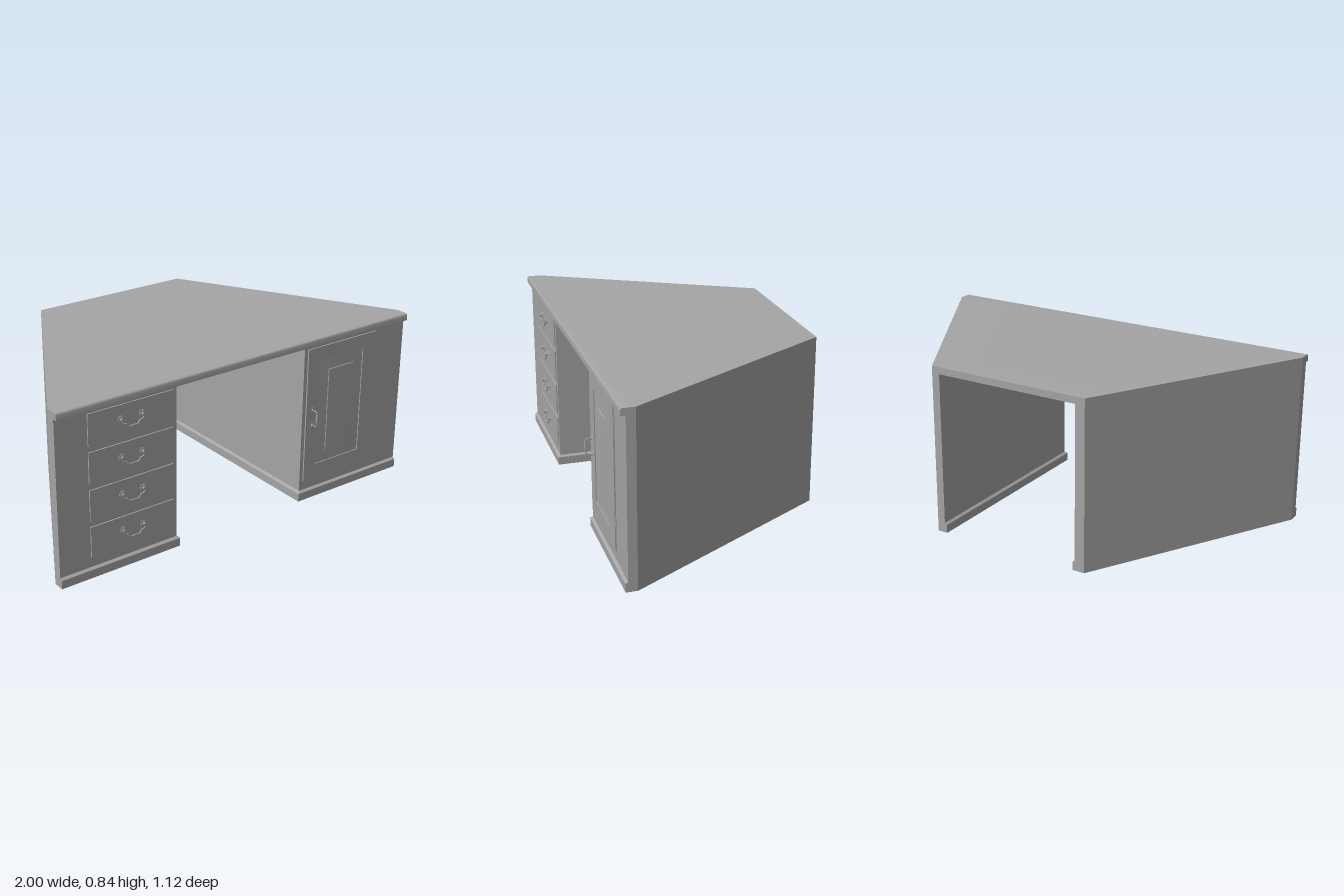
import * as THREE from 'three';
import { toCreasedNormals } from 'three/addons/utils/BufferGeometryUtils.js';

const FRONT = 0.513, BACK = -0.56;

// Solid from stacked convex outlines: levels of [height, [[x, z], ...]] listed bottom to top
function stack(levels) {
  const pos = [];
  const tri = (...pts) => pts.forEach(([y, [x, z]]) => pos.push(x, y, z));
  const n = levels[0][1].length;
  const [y0, bottom] = levels[0], [y1, top] = levels[levels.length - 1];
  for (let i = 1; i < n - 1; i++) {
    tri([y0, bottom[0]], [y0, bottom[i + 1]], [y0, bottom[i]]);
    tri([y1, top[0]], [y1, top[i]], [y1, top[i + 1]]);
  }
  for (let k = 0; k < levels.length - 1; k++) {
    const [ya, a] = levels[k], [yb, b] = levels[k + 1];
    for (let i = 0; i < n; i++) {
      const j = (i + 1) % n;
      tri([ya, a[i]], [ya, a[j]], [yb, b[j]]);
      tri([ya, a[i]], [yb, b[j]], [yb, b[i]]);
    }
  }
  const g = new THREE.BufferGeometry();
  g.setAttribute('position', new THREE.Float32BufferAttribute(pos, 3));
  return toCreasedNormals(g, 0.5);
}

// Rectangular panel facing +z; levels of [z, inset]
function panel(x0, x1, y0, y1, levels) {
  return stack(levels.map(([z, d]) => [z, [
    [x0 + d, -y0 - d], [x1 - d, -y0 - d], [x1 - d, -y1 + d], [x0 + d, -y1 + d],
  ]])).rotateX(Math.PI / 2);
}

function rectPath(path, x0, x1, y0, y1) {
  path.moveTo(x0, y0).lineTo(x1, y0).lineTo(x1, y1).lineTo(x0, y1).closePath();
  return path;
}

export function createModel() {
  const desk = new THREE.Group();
  desk.name = 'desk';
  const mat = new THREE.MeshStandardMaterial({ color: 0xa5a5a5 });
  const add = (name, geo, parent = desk) => {
    const m = new THREE.Mesh(geo, mat);
    m.name = name;
    parent.add(m);
    return m;
  };

  // Tapered top with a rounded upper front edge
  const topOutline = z => [[-1, z], [1, z], [1, 0.47], [0.4, BACK], [-0.43, BACK], [-1, 0.47]];
  const topLevels = [[0.808, topOutline(0.535)]];
  for (let i = 0; i <= 4; i++) {
    const a = i * Math.PI / 8;
    topLevels.push([0.834 + 0.008 * Math.sin(a), topOutline(0.527 + 0.008 * Math.cos(a))]);
  }
  add('desktop', stack(topLevels));

  // Wedge-shaped pedestals; d widens the outline at the front and knee side
  const left = d => [[-1, FRONT + d], [-0.38 + d, FRONT + d], [-0.38 + d, BACK], [-0.43, BACK], [-1, 0.47]];
  const right = d => [[0.36 - d, FRONT + d], [1, FRONT + d], [1, 0.47], [0.4, BACK], [0.36 - d, BACK]];
  for (const [name, outline] of [['drawer', left], ['door', right]]) {
    add(name + 'Pedestal', stack([[0.048, outline(0)], [0.81, outline(0)]]));
    add(name + 'Plinth', stack([[0, outline(0.012)], [0.041, outline(0.012)], [0.05, outline(0)]]));
  }

  // Turned rosette and post for the handles, axis along z
  const rosette = toCreasedNormals(new THREE.LatheGeometry([
    [0.017, 0], [0.017, 0.003], [0.012, 0.005], [0.006, 0.005],
    [0.005, 0.012], [0.008, 0.013], [0.008, 0.017], [0, 0.019],
  ].map(p => new THREE.Vector2(...p)), 20).rotateX(Math.PI / 2), 0.5);
  const tube = (pts, r) => new THREE.TubeGeometry(
    new THREE.CatmullRomCurve3(pts.map(p => new THREE.Vector3(...p))), 40, r, 8);

  // Square-edged drawers with swan-neck bail handles
  const half = [[0.055, 0, 0.014], [0.054, -0.014, 0.014], [0.046, -0.02, 0.014],
    [0.035, -0.022, 0.014], [0.029, -0.033, 0.014], [0.021, -0.037, 0.014]];
  const bail = tube([...half, [0, -0.036, 0.014],
    ...half.slice().reverse().map(([x, y, z]) => [-x, y, z])], 0.0035);
  for (let i = 0; i < 4; i++) {
    const y = 0.1 + i * 0.18;
    const drawer = new THREE.Group();
    drawer.name = 'drawer' + (i + 1);
    desk.add(drawer);
    add('drawerFront', panel(-0.84, -0.4, y, y + 0.15, [[0.51, 0], [0.519, 0]]), drawer);
    const handle = new THREE.Group();
    handle.name = 'drawerHandle';
    handle.position.set(-0.62, y + 0.083, 0.518);
    drawer.add(handle);
    for (const s of [-1, 1]) add('rosette', rosette, handle).position.x = s * 0.055;
    add('bail', bail, handle);
  }

  // Door frame with a fielded panel inside
  const frame = rectPath(new THREE.Shape(), 0.38, 0.81, 0.1, 0.79);
  frame.holes.push(rectPath(new THREE.Path(), 0.455, 0.73, 0.175, 0.72));
  add('doorFrame', new THREE.ExtrudeGeometry(frame, { depth: 0.01, bevelEnabled: false })
    .translate(0, 0, 0.51));
  add('doorPanel', panel(0.455, 0.73, 0.175, 0.72,
    [[0.51, 0], [0.515, 0], [0.516, 0.058], [0.519, 0.06]]));

  // Door hinges
  for (const y of [0.24, 0.715]) {
    add('hinge', new THREE.CylinderGeometry(0.004, 0.004, 0.04, 8)).position.set(0.812, y, 0.516);
  }

  // Upright door pull with a swelling grip
  const pull = new THREE.Group();
  pull.name = 'doorHandle';
  pull.position.set(0.418, 0.434, 0.518);
  desk.add(pull);
  for (const s of [-1, 1]) {
    const plate = add('rosette', rosette, pull);
    plate.position.y = s * 0.04;
    plate.scale.z = 0.7;
  }
  add('bail', tube([[0, 0.038, 0], [0, 0.038, 0.028], [0, 0.034, 0.034], [0, 0.015, 0.036],
    [0, -0.015, 0.036], [0, -0.034, 0.034], [0, -0.038, 0.028], [0, -0.038, 0]], 0.003), pull);
  const grip = add('grip', new THREE.SphereGeometry(0.0055, 12, 12), pull);
  grip.scale.y = 6;
  grip.position.z = 0.0355;

  return desk;
}
